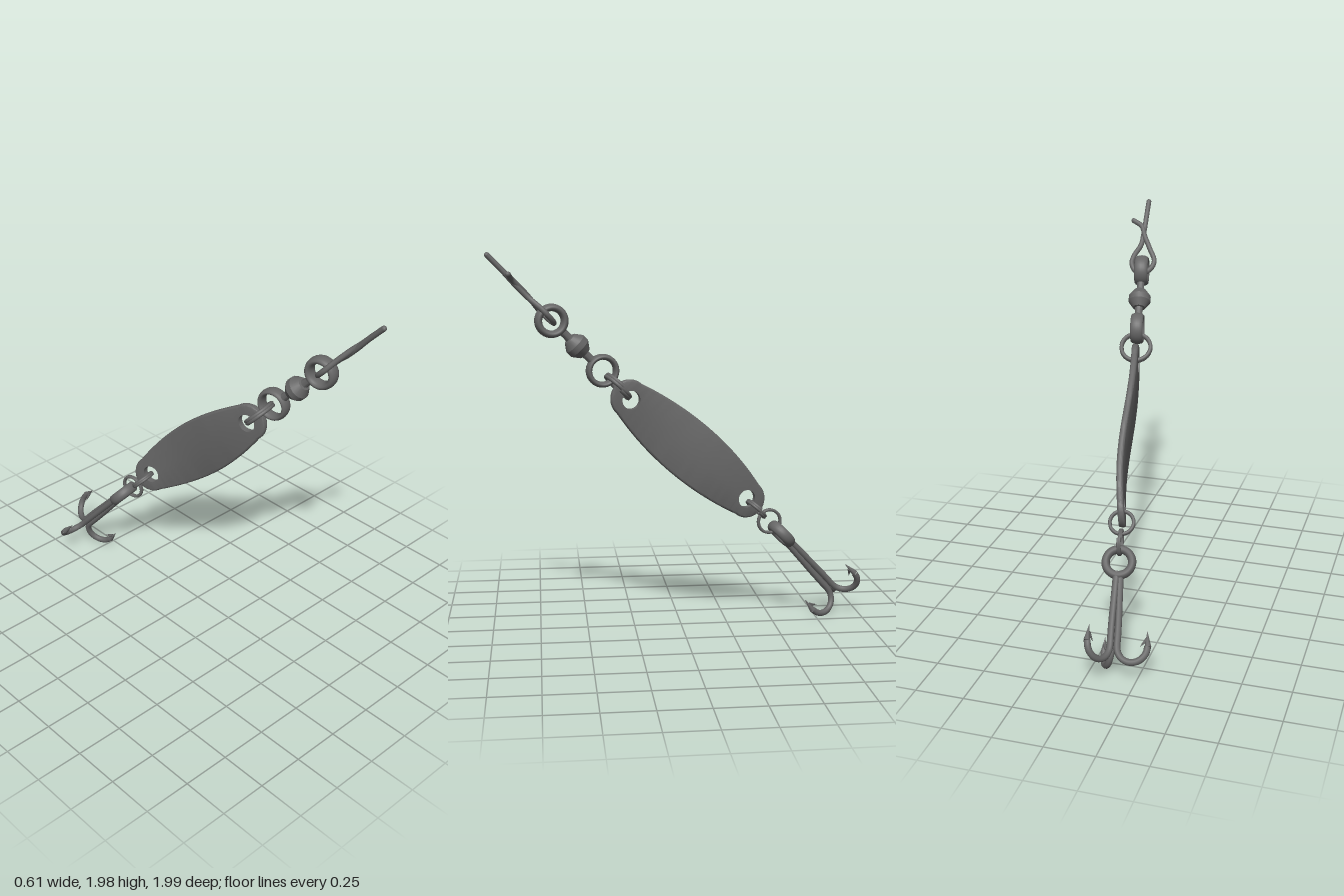
import * as THREE from 'three';
import { toCreasedNormals } from 'three/addons/utils/BufferGeometryUtils.js';

const metal = new THREE.MeshStandardMaterial({ color: 0x666666 });
const V = (x, y, z = 0) => new THREE.Vector3(x, y, z);

function mesh(name, geometry, parent) {
  const m = new THREE.Mesh(geometry, metal);
  m.name = name;
  parent.add(m);
  return m;
}

// group in the lure plane whose local y runs up along the lure
function segment(name, y, z, tilt, parent) {
  const g = new THREE.Group();
  g.name = name;
  g.position.set(0, y, z);
  g.rotation.x = tilt;
  parent.add(g);
  return g;
}

const wire = (points, r, steps) =>
  new THREE.TubeGeometry(new THREE.CatmullRomCurve3(points), steps, r, 10);

// two-turn coil of wire lying in the xy plane
function splitRing(radius, r, pitch) {
  const points = [];
  for (let i = 0; i <= 48; i++) {
    const a = (i / 24) * Math.PI * 2;
    points.push(V(Math.cos(a) * radius, Math.sin(a) * radius, (i / 48 - 0.5) * pitch));
  }
  return wire(points, r, 96);
}

// ring with an oval section, wider along its axis
function flatRing(radius, tube, stretch) {
  return new THREE.TorusGeometry(radius, tube, 14, 40).scale(1, 1, stretch);
}

// half of the blade (side = 1 or -1): sections run from the hole edge to the rounded rim
function halfBlade(side) {
  const HOLE = 0.048, SHOULDER = 0.43, T = 0.017;
  const knots = [-0.53, -0.42 - HOLE, -0.42 + HOLE, 0.42 - HOLE, 0.42 + HOLE, 0.53];
  const rows = [knots[0]];
  for (let k = 0; k < 5; k++) {
    const n = k === 2 ? 32 : 14;
    for (let i = 1; i <= n; i++) {
      const t = (1 - Math.cos((Math.PI * i) / n)) / 2;
      rows.push(knots[k] + (knots[k + 1] - knots[k]) * t);
    }
  }
  const positions = [], index = [];
  const N = 10;
  rows.forEach((y, row) => {
    const a = Math.abs(y);
    const w = a < SHOULDER ? 0.1 + 0.055 * (1 - (a / SHOULDER) ** 2)
      : Math.sqrt(Math.max(0, 0.01 - (a - SHOULDER) ** 2));
    const h = Math.sqrt(Math.max(0, HOLE ** 2 - (a - 0.42) ** 2));
    const bend = 0.012 * Math.cos(Math.PI * y) - 0.012 * Math.sin(2 * Math.PI * y);
    const rim = Math.min(0.012, w);
    const section = [[h, T]];
    for (let i = 0; i <= 7; i++) {
      const b = Math.PI * (0.5 - i / 7);
      section.push([w - rim + rim * Math.cos(b), T * Math.sin(b)]);
    }
    section.push([h, -T]);
    for (const [z, x] of section) positions.push(x + bend, y, z * side);
    if (row === 0) return;
    for (let i = 0; i < N; i++) {
      const p = (row - 1) * N + i, q = (row - 1) * N + ((i + 1) % N);
      if (side > 0) index.push(p, p + N, q, q, p + N, q + N);
      else index.push(p, q, p + N, q, q + N, p + N);
    }
  });
  const geo = new THREE.BufferGeometry();
  geo.setAttribute('position', new THREE.Float32BufferAttribute(positions, 3));
  geo.setIndex(index);
  return toCreasedNormals(geo, 0.7);
}

// one hook: shank, round bend, tapered point and barb, opening towards +x
function buildHook(parent, angle) {
  const hook = new THREE.Group();
  hook.name = 'hook';
  hook.rotation.y = angle;
  parent.add(hook);
  const points = [V(0.012, -0.05), V(0.016, -0.18), V(0.02, -0.3), V(0.021, -0.38)];
  for (let i = 0; i <= 8; i++) {
    const a = Math.PI * (1 + i / 8);
    points.push(V(0.098 + Math.cos(a) * 0.077, -0.425 + Math.sin(a) * 0.077));
  }
  mesh('hookWire', wire(points, 0.017, 60), hook);
  const point = mesh('hookPoint', new THREE.ConeGeometry(0.017, 0.08, 10), hook);
  point.position.set(0.173, -0.386, 0);
  point.rotation.z = 0.1;
  const barb = mesh('hookBarb', new THREE.ConeGeometry(0.011, 0.05, 8), hook);
  barb.position.set(0.152, -0.408, 0);
  barb.rotation.z = 2.4;
}

export function createModel() {
  const model = new THREE.Group();
  model.name = 'fishingLure';
  const lure = new THREE.Group();
  lure.name = 'lure';
  lure.position.x = 0.045;
  lure.rotation.y = 0.195;
  model.add(lure);

  // blade: flat oval with a hole at each end and a gentle S bend
  const blade = segment('blade', 0.946, -0.04, 0.853, lure);
  for (const side of [1, -1]) mesh('bladeHalf', halfBlade(side), blade);

  // ring joining the blade to the swivel
  const upper = segment('upperSplitRing', 1.294, 0.343, 0.8, lure);
  mesh('splitRing', splitRing(0.079, 0.011, 0.024), upper);

  // swivel: two eyes either side of a bead
  const swivel = segment('swivel', 1.506, 0.554, 0.79, lure);
  const lowEye = mesh('swivelLowerEye', flatRing(0.071, 0.015, 2.3), swivel);
  lowEye.position.y = -0.183;
  const highEye = mesh('swivelUpperEye', flatRing(0.067, 0.019, 2), swivel);
  highEye.position.y = 0.183;
  lowEye.rotation.y = highEye.rotation.y = Math.PI / 2;
  const profile = [[0.024, -0.118], [0.02, -0.085], [0.022, -0.056], [0.034, -0.054], [0.061, -0.016],
    [0.061, 0.016], [0.034, 0.054], [0.022, 0.056], [0.02, 0.085], [0.024, 0.118]];
  const body = new THREE.LatheGeometry(profile.map(([r, y]) => new THREE.Vector2(r, y)), 20);
  mesh('swivelBead', toCreasedNormals(body, 0.6), swivel);

  // line looped through the upper eye, its two ends crossing
  const line = segment('line', 1.636, 0.685, 0.765, lure);
  const path = [V(-0.012, 0.45), V(-0.004, 0.34), V(0.003, 0.257, 0.004), V(0.015, 0.165, 0.004),
    V(0.048, 0.095), V(0.059, 0.045), V(0.04, 0), V(0, -0.018), V(-0.045, 0.008), V(-0.066, 0.06),
    V(-0.036, 0.14, -0.004), V(-0.003, 0.22, -0.004), V(0.018, 0.286), V(0.066, 0.322)];
  mesh('lineLoop', wire(path, 0.014, 110), line);
  for (const end of [path[0], path[path.length - 1]]) {
    mesh('lineEnd', new THREE.SphereGeometry(0.014, 10, 8), line).position.copy(end);
  }

  // two linked rings below the blade
  const lowerA = segment('lowerSplitRing', 0.606, -0.42, 0.82, lure);
  mesh('splitRing', splitRing(0.061, 0.009, 0.018), lowerA);
  const lowerB = segment('hookSplitRing', 0.533, -0.495, 0.8, lure);
  mesh('splitRing', splitRing(0.062, 0.008, 0.014), lowerB).rotation.y = Math.PI / 2;

  // treble hook
  const treble = segment('trebleHook', 0.457, -0.567, 0.745, lure);
  mesh('hookEye', flatRing(0.067, 0.021, 1.45), treble);
  for (const turn of [170, 50, -70]) buildHook(treble, THREE.MathUtils.degToRad(turn));

  return model;
}
